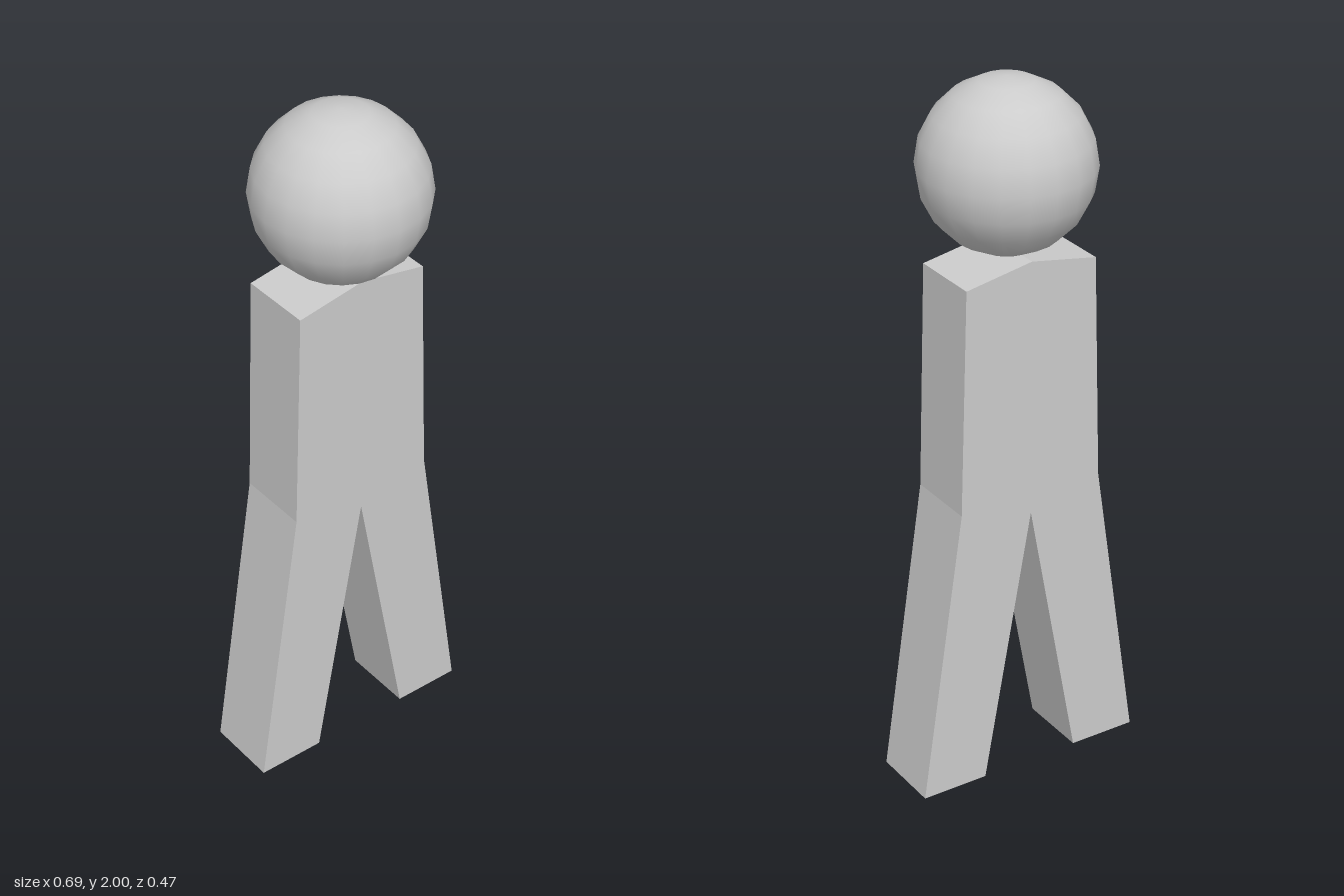
import * as THREE from 'three';

export function createModel() {
  const model = new THREE.Group();
  const grey = new THREE.MeshStandardMaterial({ color: 0xcccccc });
  const greyFlat = new THREE.MeshStandardMaterial({ color: 0xcccccc, flatShading: true });

  // Body: one mirrored outline from crotch to shoulder peak, extruded in depth
  const half = [[0.148, 0], [0.345, 0], [0.218, 0.855], [0.198, 1.5]];
  const outline = [
    [0, 0.8],
    ...half,
    [0, 1.535],
    ...half.map(([x, y]) => [-x, y]).reverse(),
  ].map(([x, y]) => new THREE.Vector2(x, y));
  const bodyGeometry = new THREE.ExtrudeGeometry(new THREE.Shape(outline), { depth: 0.21, bevelEnabled: false });
  bodyGeometry.translate(0, 0, -0.12);
  const body = new THREE.Mesh(bodyGeometry, greyFlat);
  body.name = 'bodyWithLegs';
  model.add(body);

  // Head: smooth ball resting on the shoulder peak
  const radius = 0.2375;
  const head = new THREE.Mesh(new THREE.SphereGeometry(radius, 20, 10), grey);
  head.position.y = 2 - radius;
  head.name = 'head';
  model.add(head);

  return model;
}
